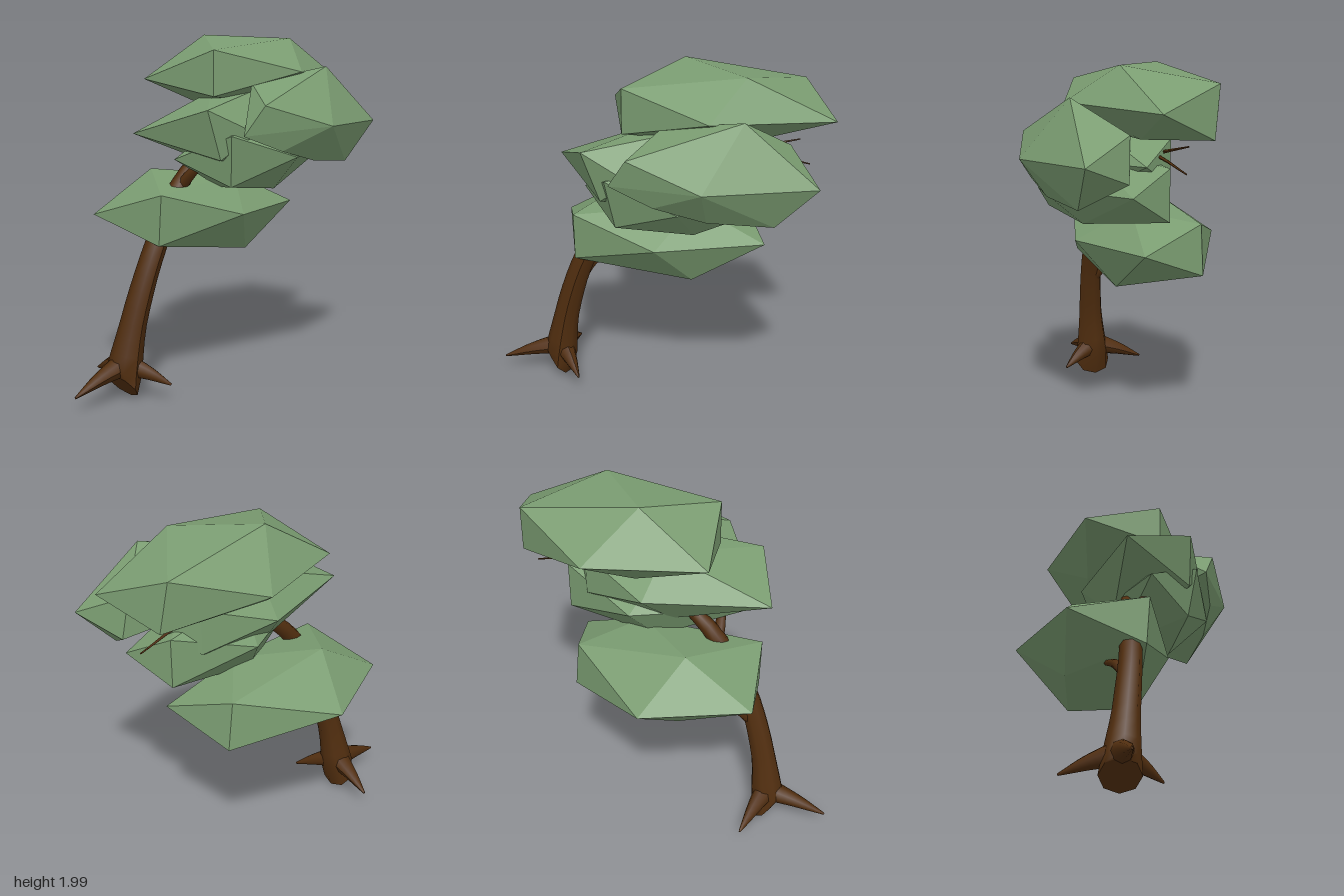
import * as THREE from 'three';
import { ConvexGeometry } from 'three/addons/geometries/ConvexGeometry.js';

const vec = (p) => new THREE.Vector3(...p);

// Tapered smooth tube along a curve; radii are spread evenly over its length
function limbGeometry(points, radii, rings, sides) {
  const curve = new THREE.CatmullRomCurve3(points.map(vec));
  const geo = new THREE.TubeGeometry(curve, rings, 1, sides, false);
  const pos = geo.attributes.position;
  const v = new THREE.Vector3();
  for (let i = 0; i <= rings; i++) {
    const c = curve.getPointAt(i / rings);
    const f = (i / rings) * (radii.length - 1);
    const k = Math.min(Math.floor(f), radii.length - 2);
    const r = THREE.MathUtils.lerp(radii[k], radii[k + 1], f - k);
    for (let j = 0; j <= sides; j++) {
      const n = i * (sides + 1) + j;
      v.fromBufferAttribute(pos, n).sub(c).multiplyScalar(r).add(c);
      pos.setXYZ(n, v.x, v.y, v.z);
    }
  }
  geo.computeVertexNormals();
  return geo;
}

export function createModel() {
  const tree = new THREE.Group();
  tree.name = 'leaningTree';
  const bark = new THREE.MeshStandardMaterial({ color: 0x512e0f, side: THREE.DoubleSide });
  bark.name = 'bark brown';
  const leaves = new THREE.MeshStandardMaterial({ color: 0x7a9c71, flatShading: true });
  leaves.name = 'leaf green';

  const add = (name, geo, mat) => {
    const mesh = new THREE.Mesh(geo, mat);
    mesh.name = name;
    tree.add(mesh);
    return mesh;
  };

  // Leaning trunk, its foot cut at a slant
  const sides = 8;
  const foot = [-0.625, 0.08, -0.09];
  const trunk = limbGeometry(
    [foot, [-0.61, 0.2, -0.08], [-0.55, 0.5, -0.05], [-0.43, 0.85, -0.02], [-0.22, 1.2, -0.02], [0.1, 1.45, 0]],
    [0.11, 0.075, 0.065, 0.06, 0.045, 0.02], 18, sides);
  const pos = trunk.attributes.position;
  const cap = new THREE.CircleGeometry(1, sides);
  cap.attributes.position.setXYZ(0, ...foot);
  for (let j = 0; j <= sides; j++) {
    const dx = pos.getX(j) - foot[0];
    pos.setXYZ(j, foot[0] + dx * 0.55, foot[1] - dx * 0.65, pos.getZ(j));
    cap.attributes.position.setXYZ(j + 1, pos.getX(j), pos.getY(j), pos.getZ(j));
  }
  trunk.computeVertexNormals();
  cap.computeVertexNormals();
  add('trunk', trunk, bark);
  add('trunkFoot', cap, bark);

  // Three roots spreading from the trunk
  const rootTips = [[-0.97, 0.1, -0.065], [-0.47, 0.1, 0.14], [-0.55, 0.1, -0.39]];
  rootTips.forEach((tip, i) => {
    const start = [-0.61, 0.2, -0.09];
    const mid = start.map((s, k) => (s + tip[k]) / 2 + (k === 1 ? 0.008 : 0));
    add('root' + (i + 1), limbGeometry([start, mid, tip], [0.07, 0.05, 0.03, 0.006], 8, 8), bark);
  });

  // Side branches and thin twigs
  const branches = [
    [[-0.47, 0.68, -0.05], [-0.4, 0.77, -0.1], [-0.28, 0.83, -0.14]],
    [[-0.25, 1.15, -0.02], [-0.22, 1.28, 0.1], [-0.1, 1.4, 0.2]],
    [[0.05, 1.42, 0], [0.2, 1.55, -0.02], [0.35, 1.75, -0.03]],
  ];
  branches.forEach((p, i) => add('branch' + (i + 1), limbGeometry(p, [0.035, 0.025, 0.015], 8, 6), bark));
  const twigs = [
    [[0.1, 1.45, 0], [0.5, 1.52, -0.02], [0.84, 1.45, -0.05]],
    [[0.1, 1.45, 0], [0.45, 1.52, -0.05], [0.78, 1.58, -0.09]],
  ];
  twigs.forEach((p, i) => add('twig' + (i + 1), limbGeometry(p, [0.02, 0.012, 0.004], 8, 5), bark));

  // Faceted leaf clumps: four rim points, two side pairs, two crown and two underside points
  const clumps = {
    lowerLeaves: [
      [0.61, 1, 0.07], [0, 1, 0.24], [-0.58, 1, -0.37], [-0.03, 1, -0.64],
      [0.47, 1.13, -0.32], [0.5, 0.85, -0.32], [-0.48, 1.14, 0.08], [-0.48, 0.86, 0.06],
      [0.2, 1.19, -0.02], [-0.18, 1.23, -0.33], [0.2, 0.76, 0.07], [-0.15, 0.8, -0.36]],
    middleLeaves: [
      [0.76, 1.33, 0.2], [0.15, 1.33, 0.5], [-0.4, 1.33, 0.1], [0.2, 1.33, -0.22],
      [0.65, 1.46, -0.05], [0.65, 1.18, -0.05], [-0.25, 1.46, 0.38], [-0.2, 1.18, 0.33],
      [0.1, 1.53, 0.02], [0.25, 1.53, 0.25], [0.1, 1.12, -0.05], [0.22, 1.13, 0.27]],
    leftLeaves: [
      [-0.56, 1.47, -0.05], [0.1, 1.47, -0.27], [0.65, 1.47, 0.08], [-0.1, 1.47, 0.42],
      [-0.38, 1.6, 0.33], [-0.28, 1.33, 0.33], [0.5, 1.6, -0.12], [0.5, 1.35, -0.12],
      [0.05, 1.68, -0.06], [0.1, 1.68, 0.2], [0, 1.28, -0.08], [0.1, 1.28, 0.2]],
    frontLeaves: [
      [0.28, 1.5, 0.64], [0.87, 1.5, 0.49], [-0.22, 1.46, 0.44], [0.38, 1.5, 0.06],
      [-0.12, 1.62, 0.5], [0.02, 1.37, 0.5], [0.72, 1.64, 0.2], [0.76, 1.4, 0.22],
      [0.48, 1.82, 0.43], [0.05, 1.73, 0.25], [0.65, 1.27, 0.45], [0.3, 1.3, 0.5]],
    topLeaves: [
      [0.34, 1.75, -0.48], [0.96, 1.75, 0.13], [0.3, 1.79, 0.4], [-0.28, 1.75, -0.27],
      [0.8, 1.89, -0.25], [0.83, 1.61, -0.21], [-0.18, 1.91, 0.18], [-0.18, 1.66, 0.18],
      [0.13, 2, -0.2], [0.48, 1.98, 0.16], [0.15, 1.59, -0.23], [0.5, 1.6, 0.05]],
  };
  for (const [name, pts] of Object.entries(clumps)) add(name, new ConvexGeometry(pts.map(vec)), leaves);

  return tree;
}
